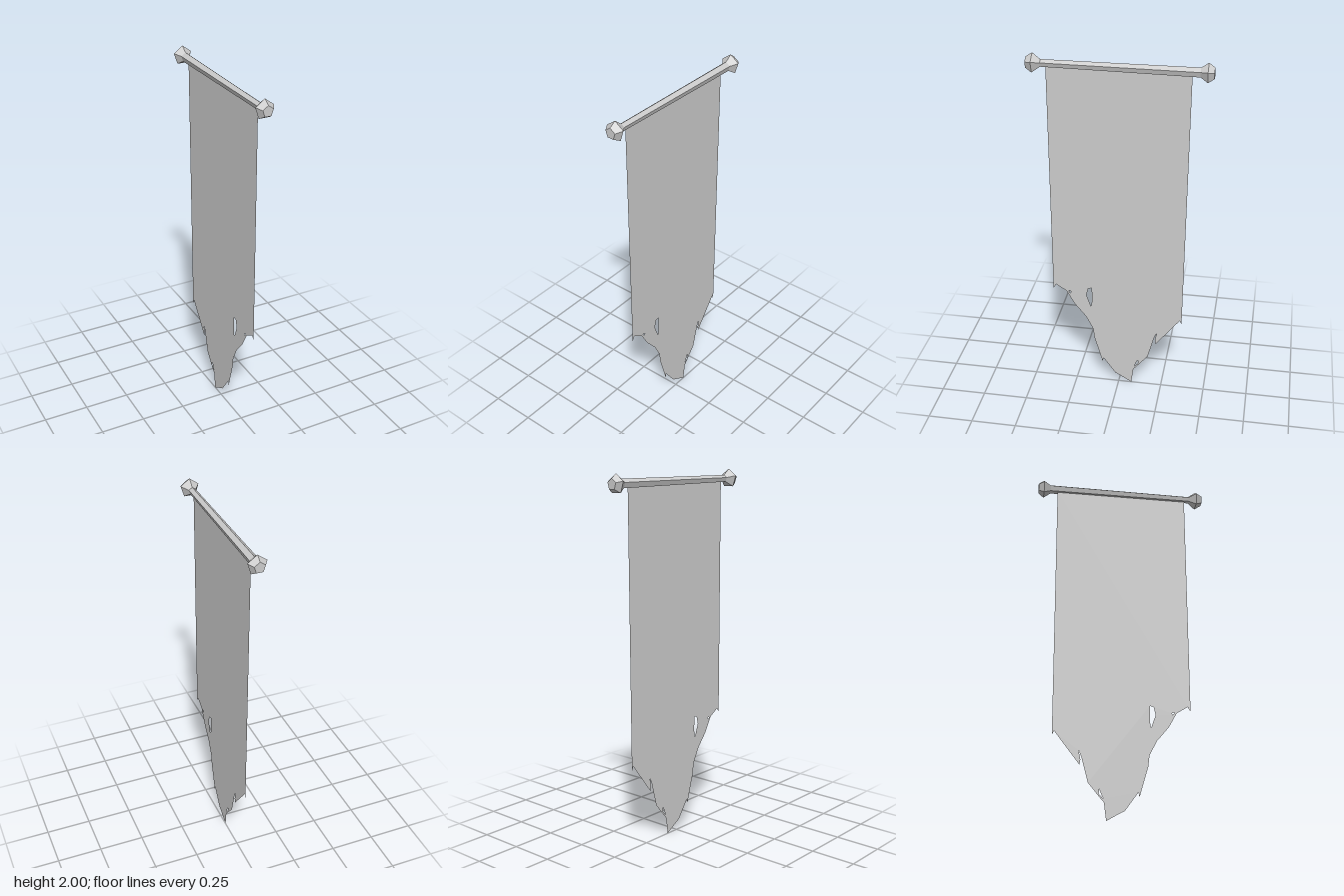
import * as THREE from 'three';

const toPoints = (list) => list.map(([u, v]) => new THREE.Vector2(u, v));

export function createModel() {
  const banner = new THREE.Group();
  banner.name = 'banner';

  // Five-sided tapering pole along z, with a faceted knob at each end
  const profile = toPoints([
    [0, -0.476], [0.03, -0.476], [0.0525, -0.441], [0.02, -0.4],
    [0.0255, 0.411], [0.0525, 0.449], [0.03, 0.48], [0, 0.48],
  ]);
  const poleGeometry = new THREE.LatheGeometry(profile, 5);
  poleGeometry.rotateX(-Math.PI / 2);
  // The pole sits very slightly askew
  const p = poleGeometry.attributes.position;
  for (let i = 0; i < p.count; i++) p.setX(i, p.getX(i) - 0.006 * p.getZ(i));
  const pole = new THREE.Mesh(
    poleGeometry,
    new THREE.MeshStandardMaterial({ color: 0xcccccc, flatShading: true }),
  );
  pole.name = 'pole';
  pole.position.y = 1.9475;
  banner.add(pole);

  // Flat cloth with a ragged lower edge
  const outline = new THREE.Shape(toPoints([
    [-0.375, 1.94], [-0.375, 0.615], [-0.36, 0.64], [-0.3, 0.602],
    [-0.255, 0.52], [-0.19, 0.44], [-0.15, 0.36], [-0.143, 0.3],
    [-0.1, 0.15], [-0.096, 0.135], [-0.09, 0.16], [-0.02, 0.06], [0, 0.05],
    [0.075, 0.005], [0.087, 0.1], [0.117, 0.135], [0.17, 0.2],
    [0.205, 0.335], [0.22, 0.37], [0.21, 0.32], [0.215, 0.293],
    [0.35, 0.47], [0.36, 0.445], [0.37, 1.94],
  ]));
  // Tears in the cloth
  const tears = [
    [[-0.175, 0.63], [-0.155, 0.635], [-0.154, 0.55], [-0.16, 0.51], [-0.186, 0.585]],
    [[-0.29, 0.607], [-0.272, 0.6], [-0.279, 0.59]],
    [[0.09, 0.118], [0.114, 0.145], [0.112, 0.17]],
  ];
  tears.forEach((tear) => outline.holes.push(new THREE.Path(toPoints(tear))));

  const clothGeometry = new THREE.ShapeGeometry(outline);
  clothGeometry.rotateY(Math.PI / 2);
  const cloth = new THREE.Mesh(
    clothGeometry,
    new THREE.MeshStandardMaterial({ color: 0xcccccc, side: THREE.DoubleSide }),
  );
  cloth.name = 'cloth';
  banner.add(cloth);

  return banner;
}
